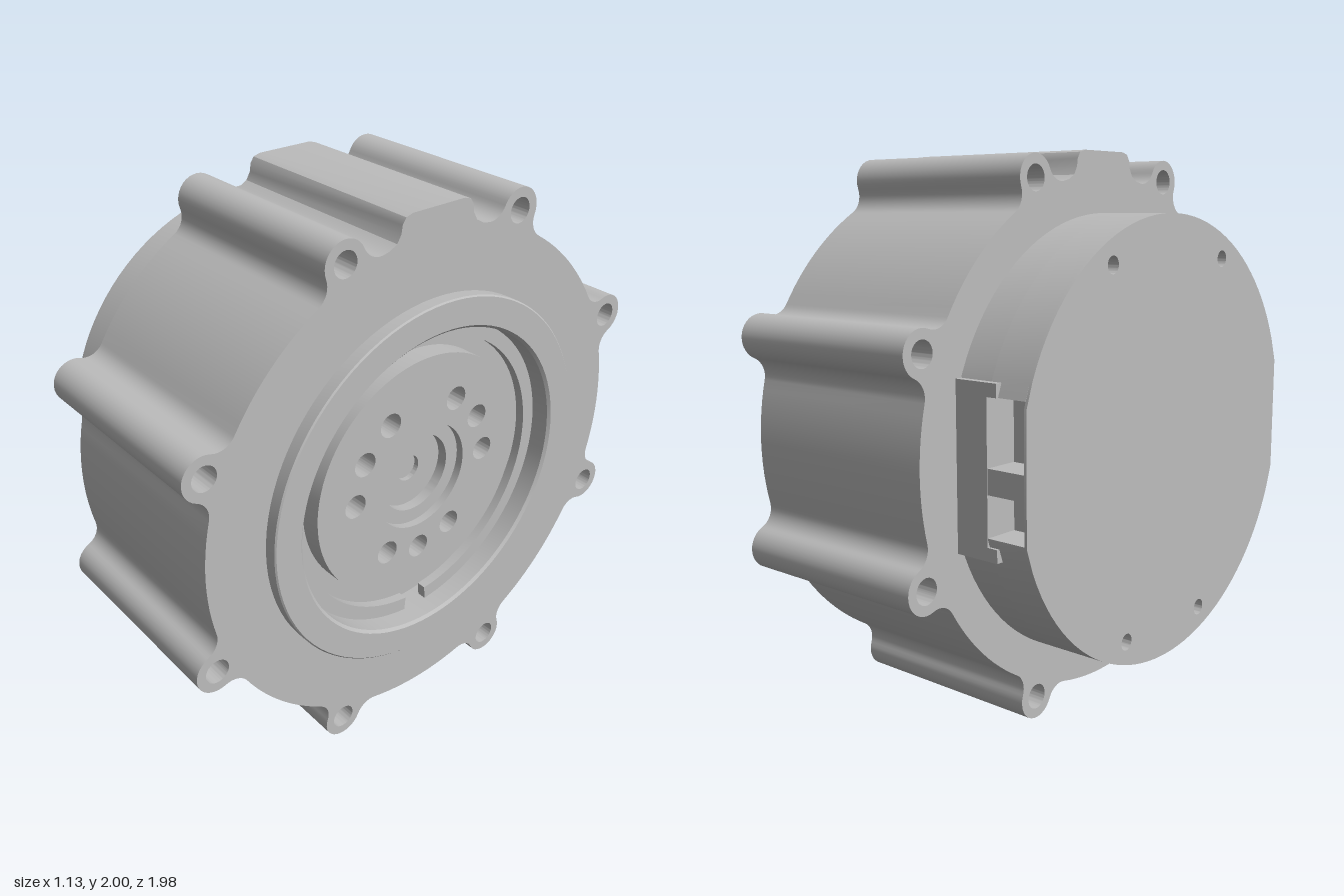
import * as THREE from 'three';
import { toCreasedNormals } from 'three/addons/utils/BufferGeometryUtils.js';

const metal = new THREE.MeshStandardMaterial({ color: 0xbcbcbc });
metal.name = 'machined grey';

const BODY_R = 0.93, LUG_R = 0.08, LUG_D = 0.984, FILLET = 0.07;
const CAP_R = 0.795, CAP_FLAT = 0.765;
const rad = THREE.MathUtils.degToRad;
const polar = (r, a) => new THREE.Vector2(r * Math.cos(a), r * Math.sin(a));
const LUG_ANGLES = [22.4, 67.6, 112.4, 157.6, 202.4, 247.6, 292.4, 337.6].map(rad);

export function createModel() {
  const model = new THREE.Group();
  model.name = 'rotaryActuator';
  // Parts are built along local z, which becomes the model's x axis
  const axis = new THREE.Group();
  axis.name = 'housing';
  axis.rotation.y = Math.PI / 2;
  axis.position.y = 0.99;
  model.add(axis);

  const add = (name, geometry) => {
    const mesh = new THREE.Mesh(geometry, metal);
    mesh.name = name;
    axis.add(mesh);
    return mesh;
  };
  const slab = (name, shape, from, to) => {
    const g = new THREE.ExtrudeGeometry(shape, { depth: to - from, bevelEnabled: false, curveSegments: 48 });
    g.translate(0, 0, from);
    return add(name, toCreasedNormals(g, 0.5));
  };
  const drill = (shape, p, r) => shape.holes.push(new THREE.Path().absarc(p.x, p.y, r, 0, Math.PI * 2, true));

  // Main body with eight filleted screw lugs and a top tab
  const body = new THREE.Shape(bodyOutline());
  drill(body, new THREE.Vector2(), 0.65);
  LUG_ANGLES.forEach((a) => drill(body, polar(LUG_D, a), 0.045));
  slab('mainBody', body, -0.28, 0.515);

  // Floors of the blind lug holes
  for (const a of LUG_ANGLES) {
    const plug = new THREE.CylinderGeometry(0.05, 0.05, 0.5, 20);
    plug.rotateX(Math.PI / 2);
    const p = polar(LUG_D, a);
    add('lugHoleFloor', plug).position.set(p.x, p.y, 0.12);
  }

  // Front boss, recess and stepped centre bore
  const profile = [
    [0.70, 0.5], [0.70, 0.56], [0.695, 0.565], [0.595, 0.565], [0.585, 0.555], [0.585, 0.41],
    [0.21, 0.41], [0.21, 0.46], [0.15, 0.46], [0.15, 0.42], [0.05, 0.42], [0.05, 0.40], [0, 0.40],
  ].map(([r, h]) => new THREE.Vector2(r, h));
  const boss = new THREE.LatheGeometry(profile, 96);
  boss.rotateX(Math.PI / 2);
  add('frontBoss', toCreasedNormals(boss, 0.5));

  // Output disk with its bolt circle
  const disk = new THREE.Shape().absarc(0, 0, 0.47, 0, Math.PI * 2, false);
  drill(disk, new THREE.Vector2(), 0.205);
  [0, 30, 60, 120, 150, 180, 240, 270, 300].forEach((a) => drill(disk, polar(0.305, rad(a)), 0.045));
  slab('outputDisk', disk, 0.41, 0.49);

  // Split retaining ring, open at the bottom
  const ring = new THREE.Shape();
  ring.absarc(0, 0, 0.583, -Math.PI / 2 + 0.09, Math.PI * 1.5 - 0.09, false);
  ring.absarc(0, 0, 0.53, Math.PI * 1.5 - 0.09, -Math.PI / 2 + 0.09, true);
  slab('retainingRing', ring, 0.45, 0.485);

  // Rear cap in layers: base, socket layer, drilled lid
  const sockets = [[-0.21, -0.07], [0.015, 0.24]];
  const screws = [[0.335, 0.631], [-0.335, 0.631], [0.233, -0.675], [-0.233, -0.675]];
  const layers = [['rearCapBase', [], false, -0.41, -0.27], ['rearCapSockets', sockets, true, -0.56, -0.41],
    ['rearCapLid', [], true, -0.57, -0.56]];
  for (const [name, notches, drilled, from, to] of layers) {
    const shape = new THREE.Shape(capOutline(notches));
    if (drilled) screws.forEach(([x, y]) => drill(shape, new THREE.Vector2(x, y), 0.03));
    slab(name, shape, from, to);
  }

  // Connector housings on both flats, with a lip at each end
  for (const side of [-1, 1]) {
    const box = (name, h, y, from, to) => add(name, new THREE.BoxGeometry(0.1, h, to - from))
      .position.set(side * 0.717, y, (from + to) / 2);
    box('connectorHousing', 0.57, 0, -0.41, -0.27);
    box('connectorLip', 0.045, 0.2625, -0.45, -0.41);
    box('connectorLip', 0.045, -0.2625, -0.45, -0.41);
  }
  return model;
}

// One lug with its fillets, as points around angle zero
function lugPoints() {
  const a = BODY_R + FILLET, b = LUG_R + FILLET;
  const theta = Math.acos((LUG_D ** 2 + a * a - b * b) / (2 * LUG_D * a));
  const f = polar(a, -theta);
  const start = Math.PI - theta, end = Math.atan2(-f.y, LUG_D - f.x);
  const half = [];
  for (let i = 0; i <= 8; i++) half.push(polar(FILLET, start + (end - start) * i / 8).add(f));
  for (let i = 1; i <= 8; i++) {
    half.push(polar(LUG_R, (end - Math.PI) * (1 - i / 8)).add(new THREE.Vector2(LUG_D, 0)));
  }
  const mirrored = half.slice(0, -1).reverse().map((p) => new THREE.Vector2(p.x, -p.y));
  return { points: [...half, ...mirrored], theta };
}

function bodyOutline() {
  const { points, theta } = lugPoints();
  const tab = [[0.201, 0.908], [0.172, 0.924], [0.156, 0.952], [0.152, 0.98], [0.138, 1.002], [0.11, 1.01]];
  const outline = [];
  LUG_ANGLES.forEach((angle, i) => {
    points.forEach((p) => outline.push(p.clone().rotateAround(new THREE.Vector2(), angle)));
    if (i === 1) {
      tab.forEach(([x, y]) => outline.push(new THREE.Vector2(x, y)));
      [...tab].reverse().forEach(([x, y]) => outline.push(new THREE.Vector2(-x, y)));
      return;
    }
    const next = i === 7 ? LUG_ANGLES[0] + Math.PI * 2 : LUG_ANGLES[i + 1];
    const from = angle + theta, to = next - theta;
    for (let k = 1; k < 12; k++) outline.push(polar(BODY_R, from + (to - from) * k / 12));
  });
  return outline;
}

// Round cap with two flats; notches are height ranges cut in from both flats
function capOutline(notches) {
  const edge = (y) => Math.min(CAP_FLAT, Math.sqrt(CAP_R ** 2 - y * y));
  const right = [[edge(-0.3), -0.3], [edge(-0.216), -0.216]];
  for (const [lo, hi] of notches) right.push([edge(lo), lo], [0.64, lo], [0.64, hi], [edge(hi), hi]);
  if (!notches.length) right.push([edge(0.216), 0.216]);
  right.push([edge(0.3), 0.3]);
  const a = Math.asin(0.3 / CAP_R);
  const outline = right.map(([x, y]) => new THREE.Vector2(x, y));
  for (let i = 1; i < 40; i++) outline.push(polar(CAP_R, a + (Math.PI - 2 * a) * i / 40));
  [...right].reverse().forEach(([x, y]) => outline.push(new THREE.Vector2(-x, y)));
  for (let i = 1; i < 40; i++) outline.push(polar(CAP_R, Math.PI + a + (Math.PI - 2 * a) * i / 40));
  return outline;
}
